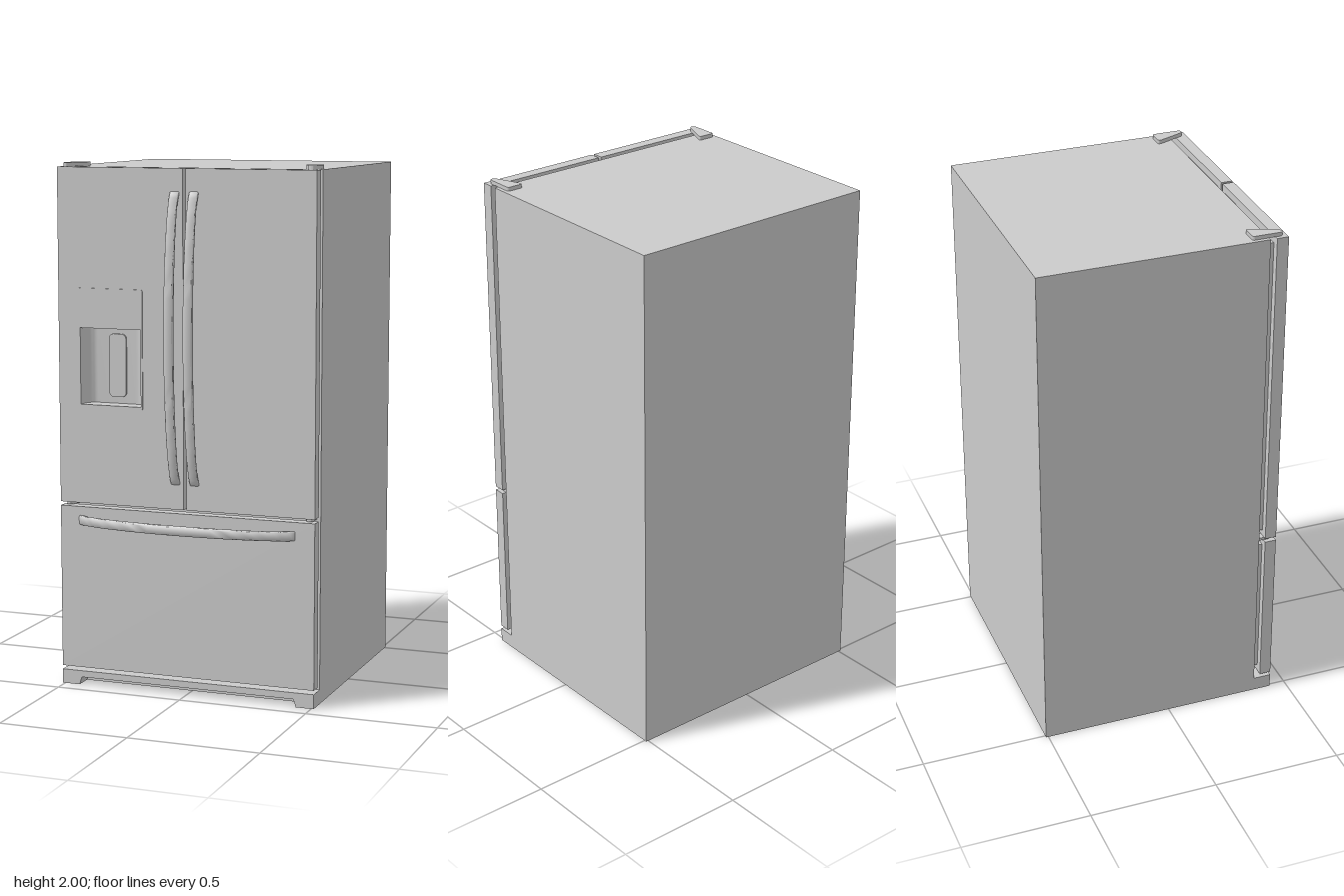
import * as THREE from 'three';
import { toCreasedNormals } from 'three/addons/utils/BufferGeometryUtils.js';

const grey = new THREE.MeshStandardMaterial({ color: 0xcccccc });
const V = (x, y, z) => new THREE.Vector3(x, y, z);

function rect(x0, x1, y0, y1, Type = THREE.Shape) {
  const s = new Type();
  s.moveTo(x0, y0).lineTo(x1, y0).lineTo(x1, y1).lineTo(x0, y1).closePath();
  return s;
}

function roundRect(x0, x1, y0, y1, r) {
  const s = new THREE.Shape();
  s.absarc(x1 - r, y0 + r, r, -Math.PI / 2, 0);
  s.absarc(x1 - r, y1 - r, r, 0, Math.PI / 2);
  s.absarc(x0 + r, y1 - r, r, Math.PI / 2, Math.PI);
  s.absarc(x0 + r, y0 + r, r, Math.PI, Math.PI * 1.5);
  return s;
}

export function createModel() {
  const group = new THREE.Group();

  function add(name, geometry) {
    const mesh = new THREE.Mesh(geometry, grey);
    mesh.name = name;
    group.add(mesh);
    return mesh;
  }
  function box(name, x0, x1, y0, y1, z0, z1) {
    const g = new THREE.BoxGeometry(x1 - x0, y1 - y0, z1 - z0);
    return add(name, g.translate((x0 + x1) / 2, (y0 + y1) / 2, (z0 + z1) / 2));
  }
  // Extrude a front-facing outline from z0 to z1
  function slab(name, shape, z0, z1) {
    const g = new THREE.ExtrudeGeometry(shape, { depth: z1 - z0, bevelEnabled: false, curveSegments: 6 });
    return add(name, toCreasedNormals(g.translate(0, 0, z0), 0.6));
  }

  // Cabinet
  box('cabinet', -0.51, 0.51, 0, 1.985, -0.51, 0.365);

  // Toe kick with a shallow notch between two feet
  const toe = new THREE.Shape([
    [-0.51, 0], [-0.44, 0], [-0.43, 0.03], [0.43, 0.03], [0.44, 0], [0.51, 0], [0.51, 0.055], [-0.51, 0.055],
  ].map(([x, y]) => new THREE.Vector2(x, y)));
  slab('toeKick', toe, 0.365, 0.435);

  // French doors and their inset gaskets; the right door is cut for the dispenser
  const opening = () => rect(-0.42, -0.175, 1.095, 1.385, THREE.Path);
  const rightDoor = rect(-0.51, -0.006, 0.715, 1.985);
  const rightGasket = rect(-0.482, -0.034, 0.74, 1.957);
  rightDoor.holes.push(opening());
  rightGasket.holes.push(opening());
  slab('rightDoor', rightDoor, 0.39, 0.435);
  slab('rightGasket', rightGasket, 0.365, 0.39);
  box('leftDoor', 0.006, 0.51, 0.715, 1.985, 0.39, 0.435);
  box('leftGasket', 0.034, 0.482, 0.74, 1.957, 0.365, 0.39);

  // Freezer drawer
  box('drawerFront', -0.51, 0.51, 0.07, 0.7, 0.39, 0.435);
  box('drawerGasket', -0.482, 0.482, 0.097, 0.674, 0.365, 0.39);

  // Dispenser surround with the control panel above the opening
  const surround = roundRect(-0.43, -0.168, 1.085, 1.535, 0.006);
  surround.holes.push(opening());
  slab('dispenserPanel', surround, 0.435, 0.439);

  // Alcove liner: curved back wall, drawn in plan and extruded upward
  const liner = new THREE.Shape();
  liner.moveTo(-0.42, -0.435).lineTo(-0.42, -0.366).lineTo(-0.175, -0.366).lineTo(-0.175, -0.435);
  liner.bezierCurveTo(-0.18, -0.385, -0.195, -0.37, -0.225, -0.37);
  liner.lineTo(-0.37, -0.37);
  liner.bezierCurveTo(-0.4, -0.37, -0.415, -0.385, -0.42, -0.435);
  const linerGeo = new THREE.ExtrudeGeometry(liner, { depth: 0.29, bevelEnabled: false, curveSegments: 10 });
  linerGeo.rotateX(-Math.PI / 2).translate(0, 1.095, 0);
  add('dispenserAlcove', toCreasedNormals(linerGeo, 0.6));
  slab('dispenserPaddle', roundRect(-0.33, -0.26, 1.12, 1.36, 0.02), 0.368, 0.378);

  // Bowed handle: outline (along, outward) extruded across its width
  function handle(name, halfLength, basis, position) {
    const N = 32, pts = [], width = 0.036, bevel = 0.006;
    const bow = (half, rise, dir) => {
      for (let i = 0; i <= N; i++) {
        const a = dir * Math.PI * (i / N - 0.5), u = Math.sin(a);
        pts.push(new THREE.Vector2(u * half, rise * Math.pow(Math.max(0, 1 - u * u), 0.6)));
      }
    };
    bow(halfLength, 0.077, -1);
    bow(halfLength - 0.024, 0.056, 1);
    const g = new THREE.ExtrudeGeometry(new THREE.Shape(pts), {
      depth: width - 2 * bevel, bevelEnabled: true, bevelSize: bevel,
      bevelThickness: bevel, bevelOffset: -bevel, bevelSegments: 3,
    });
    g.translate(0, 0, bevel - width / 2);
    g.applyMatrix4(new THREE.Matrix4().makeBasis(...basis));
    add(name, toCreasedNormals(g, 0.8)).position.copy(position);
  }
  const upright = [V(0, 1, 0), V(0, 0, 1), V(1, 0, 0)];
  const level = [V(1, 0, 0), V(0, 0, 1), V(0, -1, 0)];
  handle('leftDoorHandle', 0.547, upright, V(0.038, 1.355, 0.433));
  handle('rightDoorHandle', 0.547, upright, V(-0.038, 1.355, 0.433));
  handle('drawerHandle', 0.435, level, V(0, 0.648, 0.433));

  // Tapered hinge plates on top and between doors and drawer
  for (const side of [1, -1]) {
    const s = new THREE.Shape();
    s.moveTo(side * 0.437, -0.302).lineTo(side * 0.486, -0.302);
    s.quadraticCurveTo(side * 0.495, -0.302, side * 0.495, -0.311);
    s.lineTo(side * 0.495, -0.405);
    s.quadraticCurveTo(side * 0.495, -0.419, side * 0.484, -0.419);
    s.quadraticCurveTo(side * 0.474, -0.419, side * 0.469, -0.408);
    s.lineTo(side * 0.431, -0.316);
    s.quadraticCurveTo(side * 0.427, -0.302, side * 0.437, -0.302);
    const label = side > 0 ? 'left' : 'right';
    for (const [name, y, h] of [['TopHinge', 1.985, 0.015], ['MiddleHinge', 0.702, 0.011]]) {
      const g = new THREE.ExtrudeGeometry(s, { depth: h, bevelEnabled: false, curveSegments: 6 });
      add(label + name, toCreasedNormals(g.rotateX(-Math.PI / 2).translate(0, y, 0), 0.6));
    }
  }

  return group;
}
